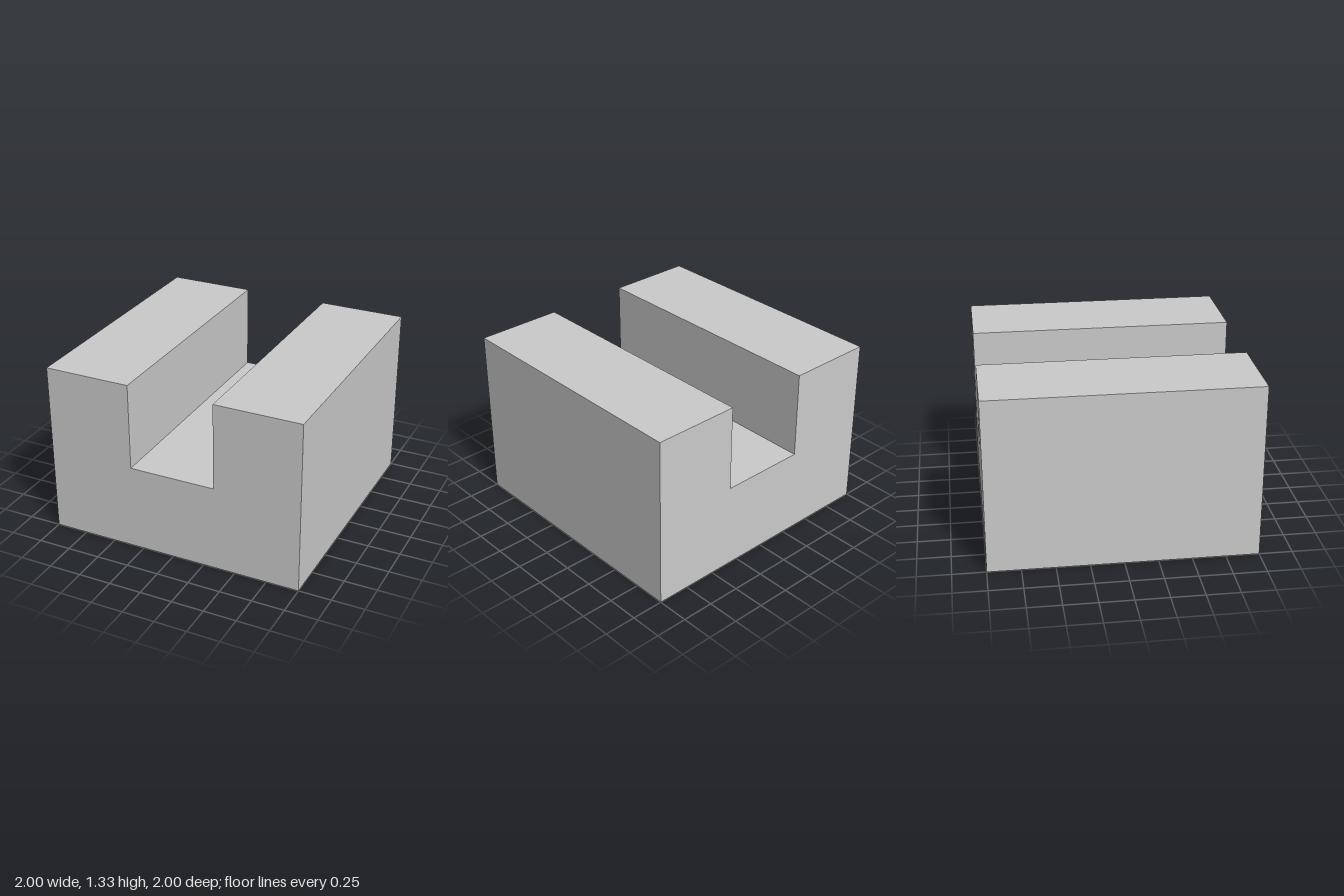
import * as THREE from 'three';

export function createModel() {
  const group = new THREE.Group();
  group.name = 'slottedBlock';

  const half = 1;             // half of the width and depth
  const height = 4 / 3;
  const slotHalf = 1 / 3;     // half of the slot width
  const slotFloor = 2 / 3;

  // U-shaped section, drawn counter-clockwise
  const section = new THREE.Shape([
    [-half, 0], [half, 0], [half, height], [slotHalf, height],
    [slotHalf, slotFloor], [-slotHalf, slotFloor], [-slotHalf, height], [-half, height],
  ].map(([x, y]) => new THREE.Vector2(x, y)));

  // Block with a slot running from front to back
  const geometry = new THREE.ExtrudeGeometry(section, { depth: 2 * half, bevelEnabled: false });
  geometry.translate(0, 0, -half);

  const block = new THREE.Mesh(
    geometry,
    new THREE.MeshStandardMaterial({ color: 0xcccccc, flatShading: true }),
  );
  block.name = 'channelBlock';
  group.add(block);

  return group;
}
